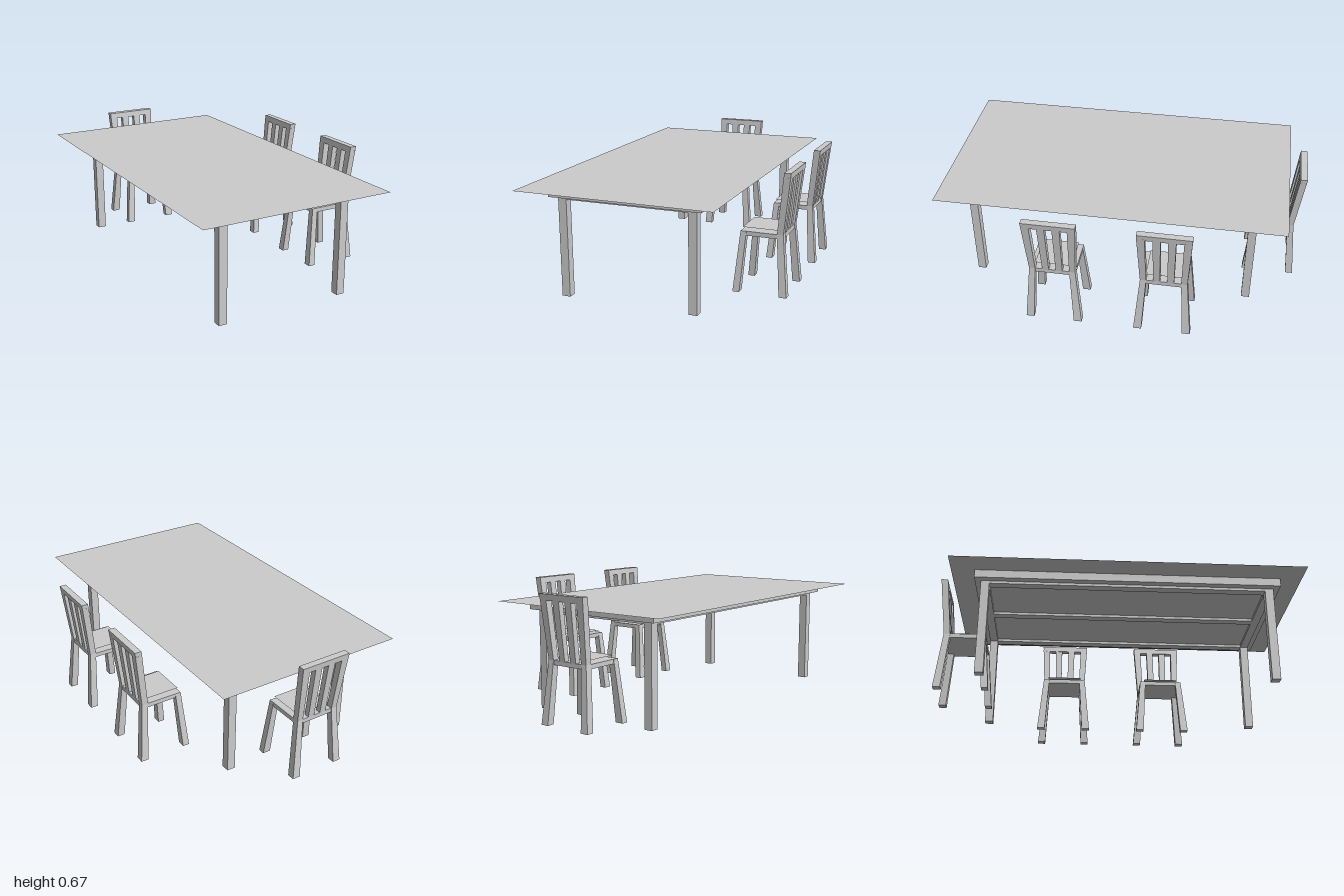
import * as THREE from 'three';

const material = new THREE.MeshStandardMaterial({ color: 0xcccccc, flatShading: true });
const sheetMaterial = new THREE.MeshStandardMaterial({ color: 0xcccccc, side: THREE.DoubleSide });

function add(parent, name, geometry, mat = material) {
  const mesh = new THREE.Mesh(geometry, mat);
  mesh.name = name;
  parent.add(mesh);
  return mesh;
}

// Box spanning two corners
function box(parent, name, x0, x1, y0, y1, z0, z1) {
  const mesh = add(parent, name, new THREE.BoxGeometry(x1 - x0, y1 - y0, z1 - z0));
  mesh.position.set((x0 + x1) / 2, (y0 + y1) / 2, (z0 + z1) / 2);
}

// Thin horizontal sheet
function sheet(parent, name, x0, x1, y, z0, z1) {
  const mesh = add(parent, name, new THREE.PlaneGeometry(x1 - x0, z1 - z0).rotateX(-Math.PI / 2), sheetMaterial);
  mesh.position.set((x0 + x1) / 2, y, (z0 + z1) / 2);
}

// Tapered, bent bar through rectangular sections [y, x0, x1, z0, z1]
// side = -1 mirrors it across z = 0
function bar(parent, name, sections, side = 1) {
  const n = sections.length - 1;
  const g = new THREE.BoxGeometry(1, 1, 1, 1, n, 1);
  const p = g.attributes.position;
  for (let i = 0; i < p.count; i++) {
    const [y, x0, x1, a, b] = sections[Math.round((p.getY(i) + 0.5) * n)];
    const [z0, z1] = side > 0 ? [a, b] : [-b, -a];
    p.setXYZ(i, p.getX(i) < 0 ? x0 : x1, y, p.getZ(i) < 0 ? z0 : z1);
  }
  const flat = g.toNonIndexed();
  flat.computeVertexNormals();
  add(parent, name, flat);
}

function createTable() {
  const table = new THREE.Group();
  table.name = 'table';
  sheet(table, 'tableTop', -0.642, 0.43, 0.587, -0.913, 1);
  box(table, 'apron', -0.51, 0.324, 0.54, 0.585, -0.785, 0.88);

  // Legs and the rails joining them
  const t = 0.046, xL = -0.473, xR = 0.288, zB = -0.752, zF = 0.846;
  for (const x of [xL, xR - t]) {
    for (const z of [zB, zF - t]) box(table, 'tableLeg', x, x + t, 0, 0.54, z, z + t);
    box(table, 'sideRail', x, x + t, 0.525, 0.54, zB + t, zF - t);
  }
  for (const z of [zB, zF - t]) box(table, 'endRail', xL + t, xR - t, 0.525, 0.54, z, z + t);
  box(table, 'centreRail', -0.115, -0.07, 0.525, 0.54, zB + t, zF - t);
  return table;
}

// Chair facing -x, its back toward +x
function createChair() {
  const chair = new THREE.Group();
  chair.name = 'chair';
  box(chair, 'seatFrame', 0.369, 0.598, 0.308, 0.332, -0.125, 0.125);
  sheet(chair, 'seatPad', 0.371, 0.567, 0.346, -0.1, 0.1);
  for (const side of [1, -1]) {
    bar(chair, 'frontLeg', [
      [0, 0.336, 0.373, 0.112, 0.156],
      [0.332, 0.368, 0.4, 0.093, 0.126],
    ], side);
    bar(chair, 'backPost', [
      [0, 0.591, 0.632, 0.112, 0.156],
      [0.332, 0.566, 0.601, 0.093, 0.126],
      [0.64, 0.599, 0.636, 0.101, 0.143],
    ], side);
    bar(chair, 'backSlat', [
      [0.33, 0.569, 0.598, 0.019, 0.055],
      [0.64, 0.602, 0.633, 0.02, 0.061],
    ], side);
  }
  bar(chair, 'topRail', [
    [0.632, 0.598, 0.635, -0.142, 0.142],
    [0.665, 0.602, 0.639, -0.144, 0.144],
  ]);
  return chair;
}

export function createModel() {
  const model = new THREE.Group();
  model.name = 'diningSet';
  model.add(createTable());

  // Two chairs along the side, one at the far end
  for (const z of [0.308, -0.292]) {
    const chair = createChair();
    chair.position.z = z;
    model.add(chair);
  }
  const endChair = createChair();
  endChair.rotation.y = Math.PI / 2;
  endChair.position.set(-0.113, 0, -0.361);
  model.add(endChair);
  return model;
}
